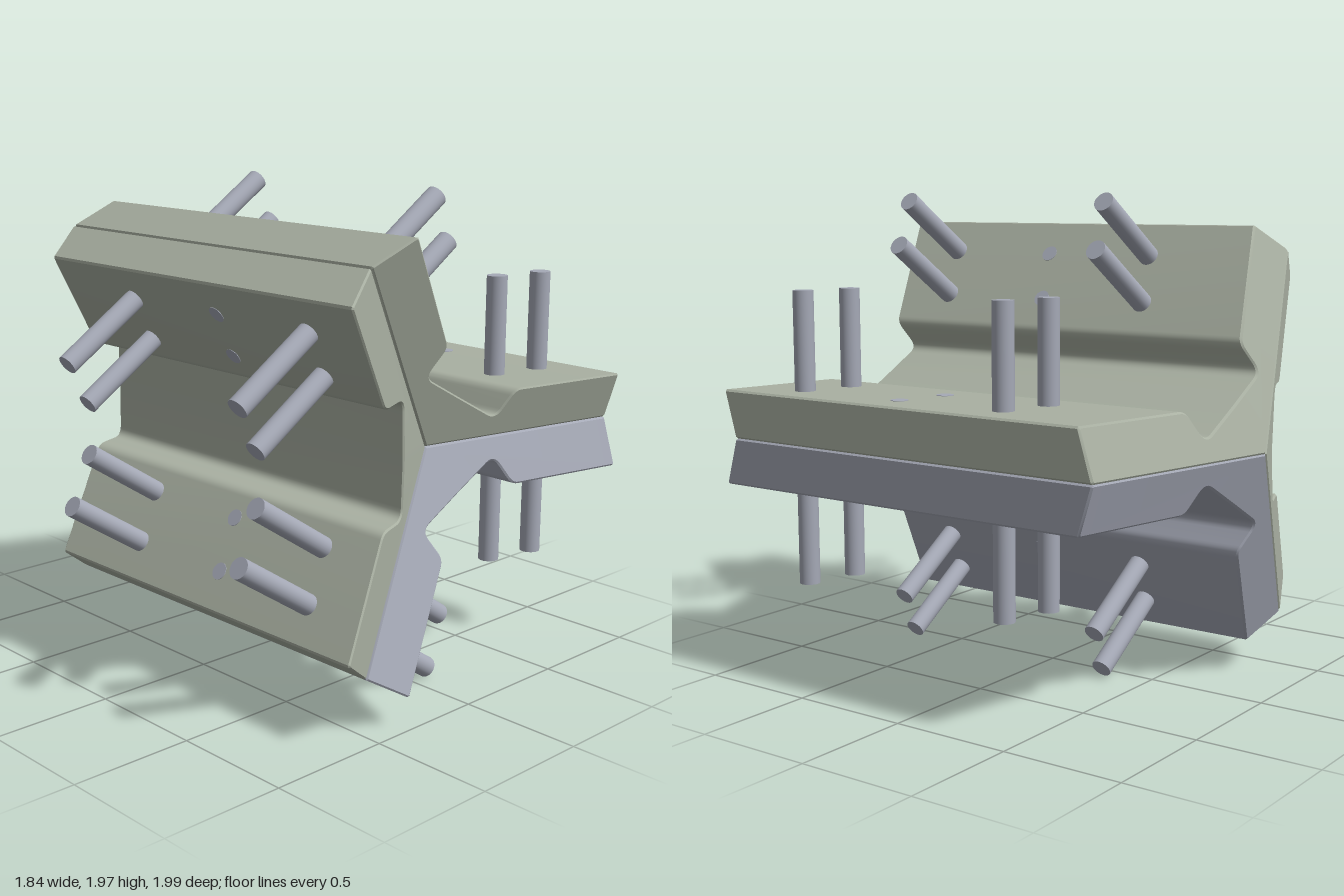
import * as THREE from 'three';
import { mergeGeometries, toCreasedNormals } from 'three/addons/utils/BufferGeometryUtils.js';

const CENTRE_Y = 0.98;
const SPREAD = THREE.MathUtils.degToRad(123.5); // angle between the side arm and each slanted arm
const THICK = 0.195;                            // half thickness of an arm
const BEVEL = 0.007;
const WEB = 0.215;                              // distance of the web face from the centre

// Half of a bracket profile: s runs along the arm, d away from the seam plane
function halfProfile(halfAngle, shoulder, groove) {
  const c = Math.cos(halfAngle), n = Math.sin(halfAngle);
  const gx = groove, gy = (WEB - groove * c) / n; // corner where groove wall meets web
  const mix = (t) => [gx + (shoulder - gx) * t, gy + (THICK - gy) * t];
  const shape = new THREE.Shape();
  shape.moveTo(0, 0);
  shape.lineTo(0.902, 0);
  shape.lineTo(0.909, 0.007);
  shape.lineTo(0.901, THICK - 0.008);
  shape.lineTo(0.893, THICK);
  shape.lineTo(shoulder + 0.03, THICK);
  shape.quadraticCurveTo(shoulder, THICK, ...mix(0.76));
  shape.lineTo(...mix(0.3));
  shape.quadraticCurveTo(gx, gy, gx - 0.045 * n, gy + 0.045 * c);
  shape.lineTo(WEB * c, WEB * n);
  return shape.getPoints(6);
}

// Move every edge inwards by BEVEL, except the last one, which joins the mirrored half
function inset(points) {
  const count = points.length;
  const lines = points.map((p, i) => {
    const q = points[(i + 1) % count];
    const normal = new THREE.Vector2(p.y - q.y, q.x - p.x).normalize();
    return { normal, dist: normal.dot(p) + (i === count - 1 ? 0 : BEVEL) };
  });
  return points.map((p, i) => {
    const a = lines[(i + count - 1) % count], b = lines[i];
    const det = a.normal.x * b.normal.y - a.normal.y * b.normal.x;
    if (Math.abs(det) < 1e-4) return p.clone().addScaledVector(b.normal, BEVEL);
    return new THREE.Vector2(
      (a.dist * b.normal.y - b.dist * a.normal.y) / det,
      (a.normal.x * b.dist - b.normal.x * a.dist) / det);
  });
}

// Prism with sloping parallel ends, placed on one side of an arm
function halfBracket(profile, angle, side) {
  const inner = inset(profile), count = profile.length;
  const rule = (p, z) => [p.x, p.y, z + 0.2 * p.x + 0.35 * p.y];
  const rings = [
    inner.map((p) => rule(p, -1)),
    profile.map((p) => rule(p, -1 + BEVEL)),
    profile.map((p) => rule(p, 0.75 - BEVEL)),
    inner.map((p) => rule(p, 0.75)),
  ];
  const ca = Math.cos(angle), sa = Math.sin(angle);
  const positions = [];
  const tri = (a, b, c) => {
    for (const [s, d, z] of side > 0 ? [a, b, c] : [a, c, b]) {
      positions.push(s * ca - side * d * sa, CENTRE_Y + s * sa + side * d * ca, z);
    }
  };
  for (let r = 0; r < 3; r++) {
    for (let i = 0; i < count - 1; i++) {
      const a = rings[r][i], b = rings[r][i + 1], c = rings[r + 1][i + 1], d = rings[r + 1][i];
      tri(a, b, c);
      tri(a, c, d);
    }
  }
  for (const [a, b, c] of THREE.ShapeUtils.triangulateShape(inner, [])) {
    tri(rings[3][a], rings[3][b], rings[3][c]);
    tri(rings[0][a], rings[0][c], rings[0][b]);
  }
  const geometry = new THREE.BufferGeometry();
  geometry.setAttribute('position', new THREE.Float32BufferAttribute(positions, 3));
  return geometry;
}

export function createModel() {
  const model = new THREE.Group();
  model.name = 'threeArmBracket';
  const green = new THREE.MeshStandardMaterial({ color: 0xa9b0a2 });
  green.name = 'greenGrey';
  const blue = new THREE.MeshStandardMaterial({ color: 0xa5a9b6 });
  blue.name = 'blueGrey';

  // Three angle brackets, each spanning two neighbouring arms
  const wide = halfProfile(SPREAD / 2, 0.365, 0.305);
  const narrow = halfProfile(Math.PI - SPREAD, 0.4, 0.31);
  const brackets = [
    ['upperBracket', wide, 0, SPREAD, green],
    ['rightBracket', narrow, SPREAD, -SPREAD, green],
    ['lowerBracket', wide, -SPREAD, 0, blue],
  ];
  for (const [name, profile, start, end, material] of brackets) {
    const geometry = mergeGeometries([
      halfBracket(profile, start, 1),
      halfBracket(profile, end, -1),
    ]);
    const mesh = new THREE.Mesh(toCreasedNormals(geometry, 0.5), material);
    mesh.name = name;
    model.add(mesh);
  }

  // Pins through each arm: two long pairs and one flush pair between them
  const longPin = new THREE.CylinderGeometry(0.042, 0.042, 1.2, 28);
  const flushPin = new THREE.CylinderGeometry(0.035, 0.035, 2 * THICK + 0.004, 28);
  for (const angle of [0, SPREAD, -SPREAD]) {
    const arm = new THREE.Group();
    arm.name = 'armPins';
    arm.position.y = CENTRE_Y;
    arm.rotation.z = angle;
    for (const [s, z] of [[0.522, 0.148], [0.742, 0.193]]) {
      for (const step of [-0.503, 0, 0.503]) {
        const pin = new THREE.Mesh(step ? longPin : flushPin, blue);
        pin.name = step ? 'longPin' : 'flushPin';
        pin.position.set(s, 0, z + step);
        arm.add(pin);
      }
    }
    model.add(arm);
  }
  return model;
}
